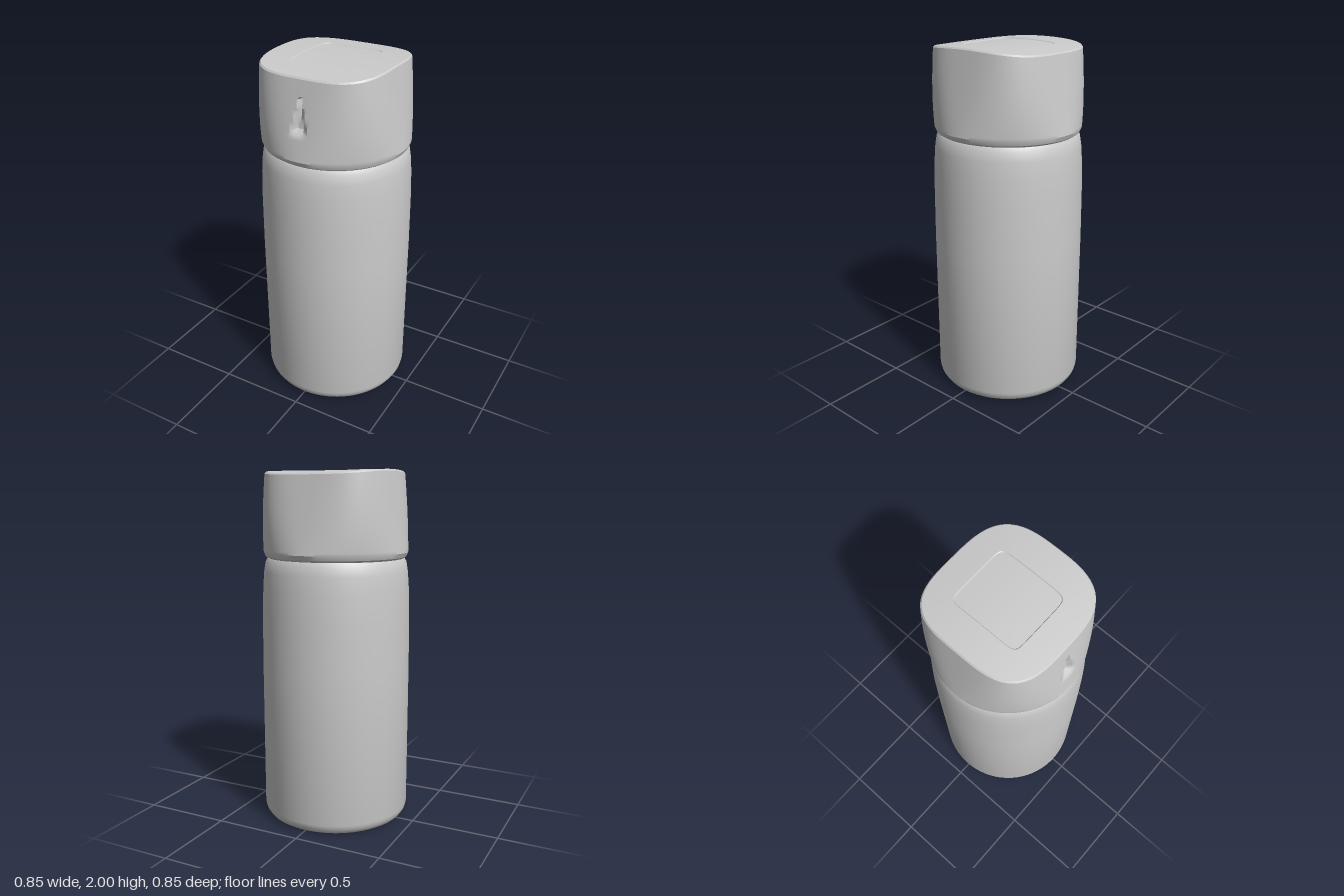
import * as THREE from 'three';
import { toCreasedNormals } from 'three/addons/utils/BufferGeometryUtils.js';

const SEG = 144;
const material = new THREE.MeshStandardMaterial({ color: 0xcccccc });

// Radius of a superellipse with half-sizes a, b at angle t (n = 2 is round).
function superRadius(t, a, b, n) {
  return Math.pow(Math.pow(Math.abs(Math.cos(t)) / a, n) + Math.pow(Math.abs(Math.sin(t)) / b, n), -1 / n);
}

// Skin closed rings, listed from bottom to top; each ring maps an angle to a point.
function loft(rings) {
  const pos = [], index = [];
  rings.forEach((ring, r) => {
    for (let i = 0; i < SEG; i++) {
      pos.push(...ring((i / SEG) * Math.PI * 2));
      if (r === 0) continue;
      const j = (i + 1) % SEG, lo = (r - 1) * SEG, hi = r * SEG;
      index.push(lo + i, hi + i, lo + j, lo + j, hi + i, hi + j);
    }
  });
  const geo = new THREE.BufferGeometry();
  geo.setAttribute('position', new THREE.Float32BufferAttribute(pos, 3));
  geo.setIndex(index);
  return toCreasedNormals(geo, 0.5);
}

// Slightly arched lid height, falling towards front and back.
const lidHeight = (z) => 2 - 0.2 * z * z;

// Teardrop dent in the front of the cap: 0 outside, up to 1 inside.
function dent(x, y, z) {
  if (z < 0 || y < 1.68 || y > 1.88) return 0;
  const halfWidth = 0.055 * (1.88 - y) / 0.2;
  const across = Math.max(0, 1 - Math.abs(x) / (halfWidth + 0.001));
  return Math.min(1, across * 1.6) * Math.min(1, (y - 1.68) / 0.03);
}

function capGeometry() {
  const rings = [];
  // Underside lip
  rings.push((t) => [0.385 * Math.cos(t), 1.515, 0.385 * Math.sin(t)]);
  rings.push((t) => [0.4 * Math.cos(t), 1.525, 0.4 * Math.sin(t)]);
  // Wall: round at the seam, rounded square at the top
  const rows = 30;
  for (let k = 0; k <= rows; k++) {
    const f = k / rows;
    const half = 0.411 - 0.058 * f, n = 2 + 1.3 * f;
    rings.push((t) => {
      const r = superRadius(t, half, half, n);
      const x = r * Math.cos(t), z = r * Math.sin(t);
      const y = 1.55 + f * (lidHeight(z) - 0.008 - 1.55);
      return [x, y, z - 0.028 * dent(x, y, z)];
    });
  }
  // Lid: softened rim, then a shallow pressed panel
  const lidRing = (radius, drop) => rings.push((t) => {
    const r = radius(t), z = r * Math.sin(t);
    return [r * Math.cos(t), lidHeight(z) - drop, z];
  });
  const rim = (t) => superRadius(t, 0.346, 0.346, 3.3);
  const panel = (t) => superRadius(t, 0.18, 0.2, 10);
  lidRing(rim, 0);
  lidRing((t) => (rim(t) + panel(t)) / 2, 0);
  lidRing(panel, 0);
  lidRing((t) => panel(t) * 0.98, 0.005);
  lidRing((t) => panel(t) * 0.5, 0.005);
  lidRing(() => 0, 0.005);
  return loft(rings);
}

export function createModel() {
  const group = new THREE.Group();
  const add = (name, geo) => {
    const mesh = new THREE.Mesh(geo, material);
    mesh.name = name;
    group.add(mesh);
  };

  // Bottle body with chamfered foot and rounded shoulder up to the seam
  const profile = [
    [0, 0], [0.385, 0], [0.405, 0.012], [0.42, 0.035], [0.426, 0.06],
    [0.426, 0.9], [0.423, 1.2], [0.418, 1.35], [0.411, 1.44],
    [0.402, 1.495], [0.39, 1.515], [0, 1.515],
  ].map(([r, y]) => new THREE.Vector2(r, y));
  add('body', toCreasedNormals(new THREE.LatheGeometry(profile, 72), 0.6));

  add('cap', capGeometry());
  return group;
}
